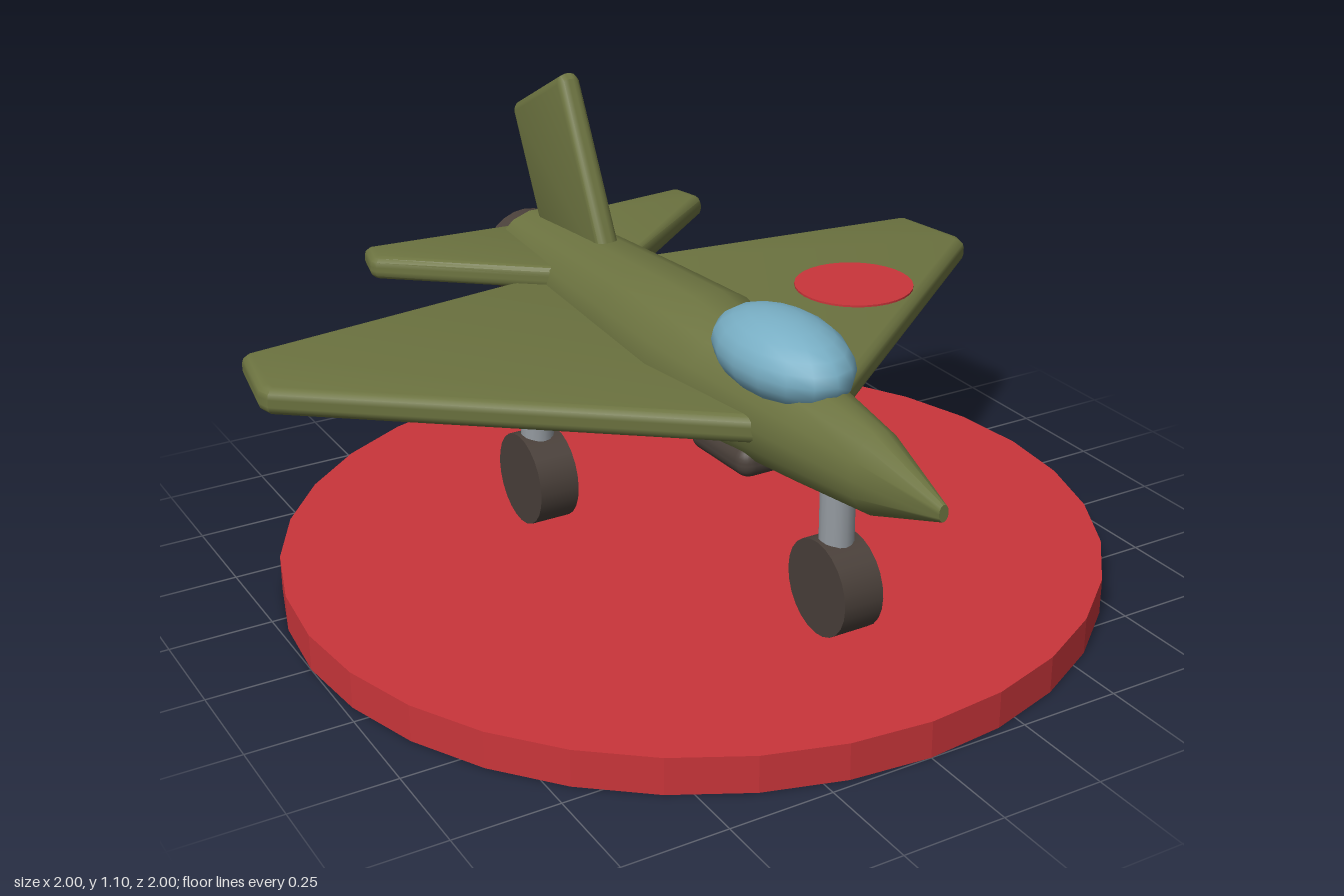
import * as THREE from 'three';
import { toCreasedNormals } from 'three/addons/utils/BufferGeometryUtils.js';
import { RoundedBoxGeometry } from 'three/addons/geometries/RoundedBoxGeometry.js';

function material(name, color) {
  const m = new THREE.MeshStandardMaterial({ color });
  m.name = name;
  return m;
}

// Closed body lofted through elliptical rings [z, centreY, radiusX, radiusY], nose to tail
function loft(rings, sides) {
  const pos = [], index = [];
  for (const [z, cy, rx, ry] of rings) {
    for (let j = 0; j < sides; j++) {
      const a = (j / sides) * Math.PI * 2;
      pos.push(rx * Math.cos(a), cy + ry * Math.sin(a), z);
    }
  }
  const last = rings.length - 1, front = rings.length * sides, back = front + 1;
  pos.push(0, rings[0][1], rings[0][0], 0, rings[last][1], rings[last][0]);
  for (let j = 0; j < sides; j++) {
    const k = (j + 1) % sides;
    for (let i = 0; i < last; i++) {
      const a = i * sides + j, b = i * sides + k;
      index.push(a, a + sides, b, b, a + sides, b + sides);
    }
    index.push(front, j, k, back, last * sides + k, last * sides + j);
  }
  const g = new THREE.BufferGeometry();
  g.setAttribute('position', new THREE.Float32BufferAttribute(pos, 3));
  g.setIndex(index);
  return toCreasedNormals(g, 0.9);
}

// Bevelled plate centred on its own thickness
function plate(points, thickness) {
  const bevel = 0.024;
  const shape = new THREE.Shape(points.map(([x, y]) => new THREE.Vector2(x, y)));
  const g = new THREE.ExtrudeGeometry(shape, {
    depth: thickness - 2 * bevel, bevelEnabled: true, bevelThickness: bevel,
    bevelSize: bevel, bevelOffset: -bevel, bevelSegments: 3,
  });
  g.translate(0, 0, bevel - thickness / 2);
  return toCreasedNormals(g, 0.6);
}

export function createModel() {
  const group = new THREE.Group();
  const olive = material('olive paint', 0x6c7340);
  const red = material('red', 0xc9353a);
  const dark = material('dark metal', 0x4a403a);
  const steel = material('steel', 0x959ba1);
  const glass = material('canopy glass', 0x78aec4);

  const add = (name, geometry, mat, x = 0, y = 0, z = 0) => {
    const mesh = new THREE.Mesh(geometry, mat);
    mesh.name = name;
    mesh.position.set(x, y, z);
    group.add(mesh);
    return mesh;
  };

  // Display base
  add('base', toCreasedNormals(new THREE.CylinderGeometry(1, 1, 0.09, 32), 0.1), red, 0, 0.045, 0);

  // Fuselage
  add('fuselage', loft([
    [1, 0.58, 0.012, 0.02],
    [0.77, 0.573, 0.07, 0.098],
    [0.55, 0.573, 0.104, 0.121],
    [0.22, 0.575, 0.152, 0.152],
    [0.07, 0.578, 0.174, 0.167],
    [-0.2, 0.576, 0.159, 0.155],
    [-0.46, 0.58, 0.143, 0.134],
    [-0.8, 0.597, 0.12, 0.09],
  ], 14), olive);

  // Canopy
  const canopy = add('canopy', new THREE.SphereGeometry(1, 16, 12), glass, 0, 0.708, 0.397);
  canopy.scale.set(0.13, 0.098, 0.22);

  // Engine nozzle and belly intake
  add('engine', new THREE.CylinderGeometry(0.12, 0.12, 0.425, 24).rotateX(Math.PI / 2), dark, 0, 0.54, -0.6725);
  const intake = add('intake', new RoundedBoxGeometry(0.22, 0.078, 0.25, 3, 0.036), dark, 0, 0.455, 0.287);
  intake.rotation.x = -0.04;

  // Wings and tailplanes, given as [x, z] outlines
  const wing = [[0.06, 0.48], [0.11, 0.46], [0.975, -0.225], [0.985, -0.26], [0.952, -0.455], [0.935, -0.468], [0.06, -0.578]];
  const tailplane = [[0.05, -0.42], [0.48, -0.765], [0.488, -0.785], [0.47, -0.865], [0.455, -0.875], [0.05, -0.837]];
  for (const [label, s] of [['left', 1], ['right', -1]]) {
    const mirror = (pts) => pts.map(([x, z]) => [s * x, z]);
    add(label + 'Wing', plate(mirror(wing), 0.066).rotateX(Math.PI / 2), olive, 0, 0.567, 0);
    add(label + 'Tailplane', plate(mirror(tailplane), 0.06).rotateX(Math.PI / 2), olive, 0, 0.616, 0);
  }

  // Tail fin, given as a [z, y] outline
  const fin = [[-0.372, 0.65], [-0.595, 1.09], [-0.615, 1.1], [-0.875, 0.962], [-0.884, 0.94], [-0.735, 0.65]];
  add('tailFin', plate(fin, 0.06).rotateY(-Math.PI / 2), olive);

  // Roundel on the left wing
  add('wingRoundel', new THREE.CylinderGeometry(0.15, 0.15, 0.006, 32), red, 0.53, 0.602, -0.095);

  // Landing gear
  for (const [name, x, z] of [['nose', 0, 0.625], ['left', 0.32, -0.19], ['right', -0.32, -0.19]]) {
    add(name + 'Strut', new THREE.CylinderGeometry(0.04, 0.04, 0.2, 16), steel, x, 0.386, z);
    add(name + 'Wheel', new THREE.CylinderGeometry(0.113, 0.113, 0.1, 24).rotateZ(Math.PI / 2), dark, x, 0.243, z);
  }

  return group;
}
